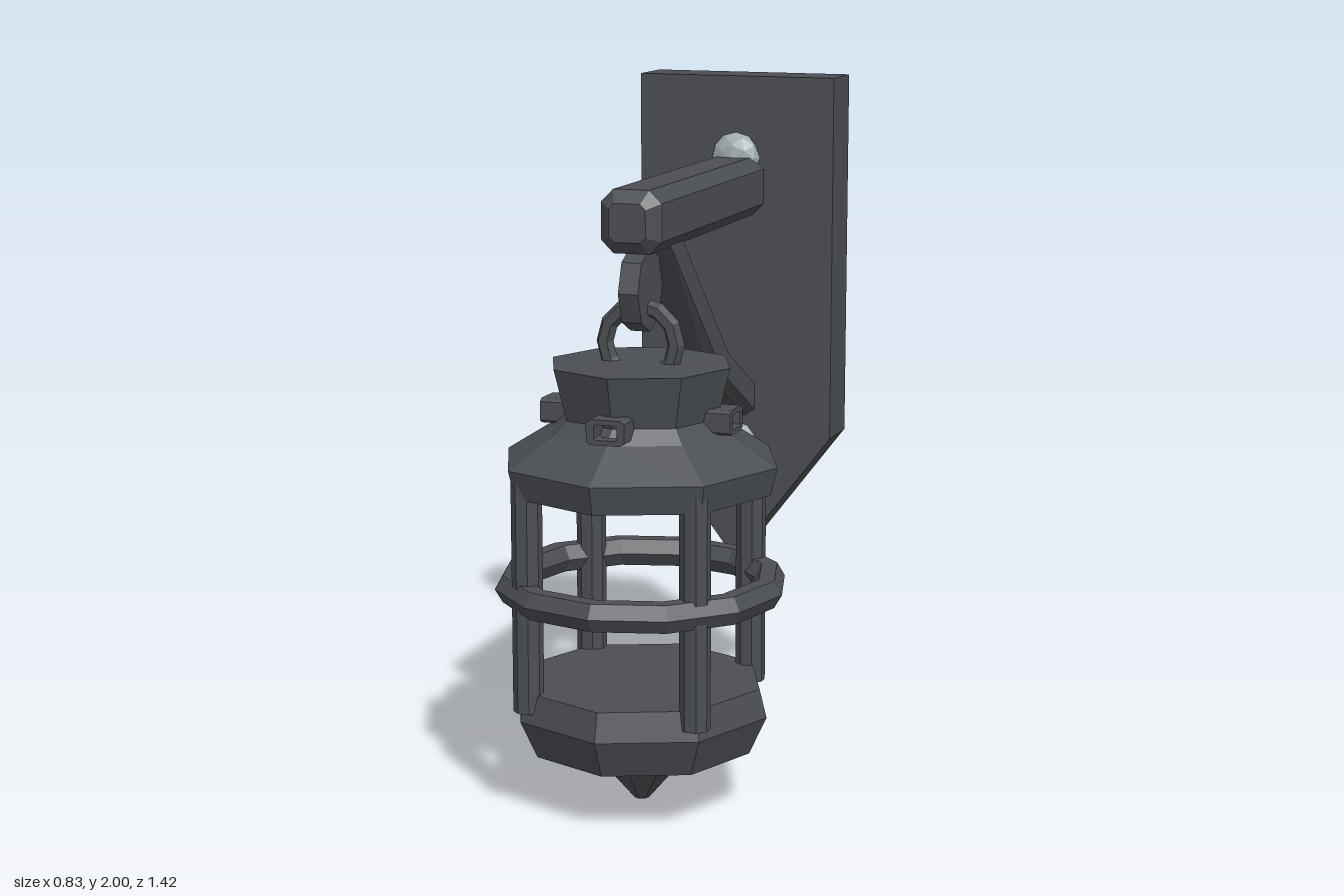
import * as THREE from 'three';

const iron = new THREE.MeshStandardMaterial({ name: 'darkIron', color: 0x4b4e53, flatShading: true });
const steel = new THREE.MeshStandardMaterial({ name: 'paleSteel', color: 0x9fabad, flatShading: true });

function add(parent, name, geometry, material = iron) {
  const mesh = new THREE.Mesh(geometry, material);
  mesh.name = name;
  parent.add(mesh);
  return mesh;
}

const shapeOf = (pts) => new THREE.Shape(pts.map(([x, y]) => new THREE.Vector2(x, y)));

// Eight-sided turned part from [radius, height] pairs, bottom to top
const turned = (pts) => new THREE.LatheGeometry(pts.map(([r, y]) => new THREE.Vector2(r, y)), 8);

// Square outline with cut corners
function cutSquare(h, c) {
  return shapeOf([[h, c - h], [h, h - c], [h - c, h], [c - h, h], [-h, h - c], [-h, c - h], [c - h, -h], [h - c, -h]]);
}

export function createModel() {
  const model = new THREE.Group();
  model.name = 'wallLantern';

  // Pointed wall plate
  const plate = new THREE.ExtrudeGeometry(
    shapeOf([[0, 0.505], [0.305, 0.905], [0.305, 2], [-0.305, 2], [-0.305, 0.905]]),
    { depth: 0.165, bevelEnabled: false });
  add(model, 'wallPlate', plate).position.z = -0.71;

  // Domed bolts
  for (const y of [1.755, 0.865]) {
    const bolt = add(model, 'bolt', new THREE.IcosahedronGeometry(0.076, 1), steel);
    bolt.position.set(0, y, -0.545);
    bolt.scale.z = 0.6;
  }

  // Horizontal arm with bevelled edges and end
  const arm = new THREE.ExtrudeGeometry(cutSquare(0.053, 0.015),
    { depth: 0.93, bevelSize: 0.035, bevelThickness: 0.035, bevelSegments: 1 });
  add(model, 'arm', arm).position.set(0, 1.67, -0.565);

  // Bent brace below the arm, drawn in (z, y) and extruded across x
  const brace = new THREE.ExtrudeGeometry(
    shapeOf([[-0.56, 0.975], [-0.235, 1.15], [0.225, 1.59], [0.12, 1.59], [-0.29, 1.2], [-0.56, 1.055]]),
    { depth: 0.066, bevelSize: 0.025, bevelThickness: 0.03, bevelSegments: 1 });
  brace.translate(0, 0, -0.033);
  brace.rotateY(-Math.PI / 2);
  add(model, 'brace', brace);

  const lantern = new THREE.Group();
  lantern.name = 'lantern';
  lantern.position.z = 0.295;
  model.add(lantern);

  // Hanger plate and ring
  const hanger = add(lantern, 'hanger', new THREE.CylinderGeometry(0.1, 0.1, 0.058, 8));
  hanger.rotation.z = Math.PI / 2;
  hanger.scale.x = 1.17;
  hanger.position.y = 1.475;
  const ring = add(lantern, 'hangingRing', new THREE.TorusGeometry(0.105, 0.025, 6, 12));
  ring.position.y = 1.325;

  // Roof and pointed base
  add(lantern, 'roof', turned([[0, 0.92], [0.38, 0.92], [0.4, 1.0], [0.265, 1.085], [0.225, 1.125], [0.262, 1.27], [0, 1.275]]));
  add(lantern, 'base', turned([[0, 0], [0.022, 0.005], [0.115, 0.115], [0.322, 0.17], [0.373, 0.28], [0.352, 0.362], [0, 0.362]]));

  // Small vent frames around the neck
  const vent = cutSquare(0.05, 0.012);
  vent.holes.push(new THREE.Path(cutSquare(0.03, 0.006).getPoints().reverse()));
  for (let i = 0; i < 4; i++) {
    const geometry = new THREE.ExtrudeGeometry(vent, { depth: 0.09, bevelEnabled: false });
    geometry.scale(1.1, 0.7, 1);
    geometry.translate(0, 1.125, 0.19);
    geometry.rotateY(i * Math.PI / 2);
    add(lantern, 'ventFrame', geometry);
  }

  // Corner bars
  for (const x of [-1, 1]) for (const z of [-1, 1]) {
    const bar = add(lantern, 'bar', new THREE.CylinderGeometry(0.043, 0.043, 0.66, 8));
    bar.position.set(x * 0.245, 0.64, z * 0.245);
    bar.rotation.y = Math.PI / 8;
  }

  // Guard hoop
  const hoop = add(lantern, 'guardHoop', new THREE.TorusGeometry(0.37, 0.045, 6, 12));
  hoop.rotation.x = Math.PI / 2;
  hoop.position.y = 0.64;

  return model;
}
